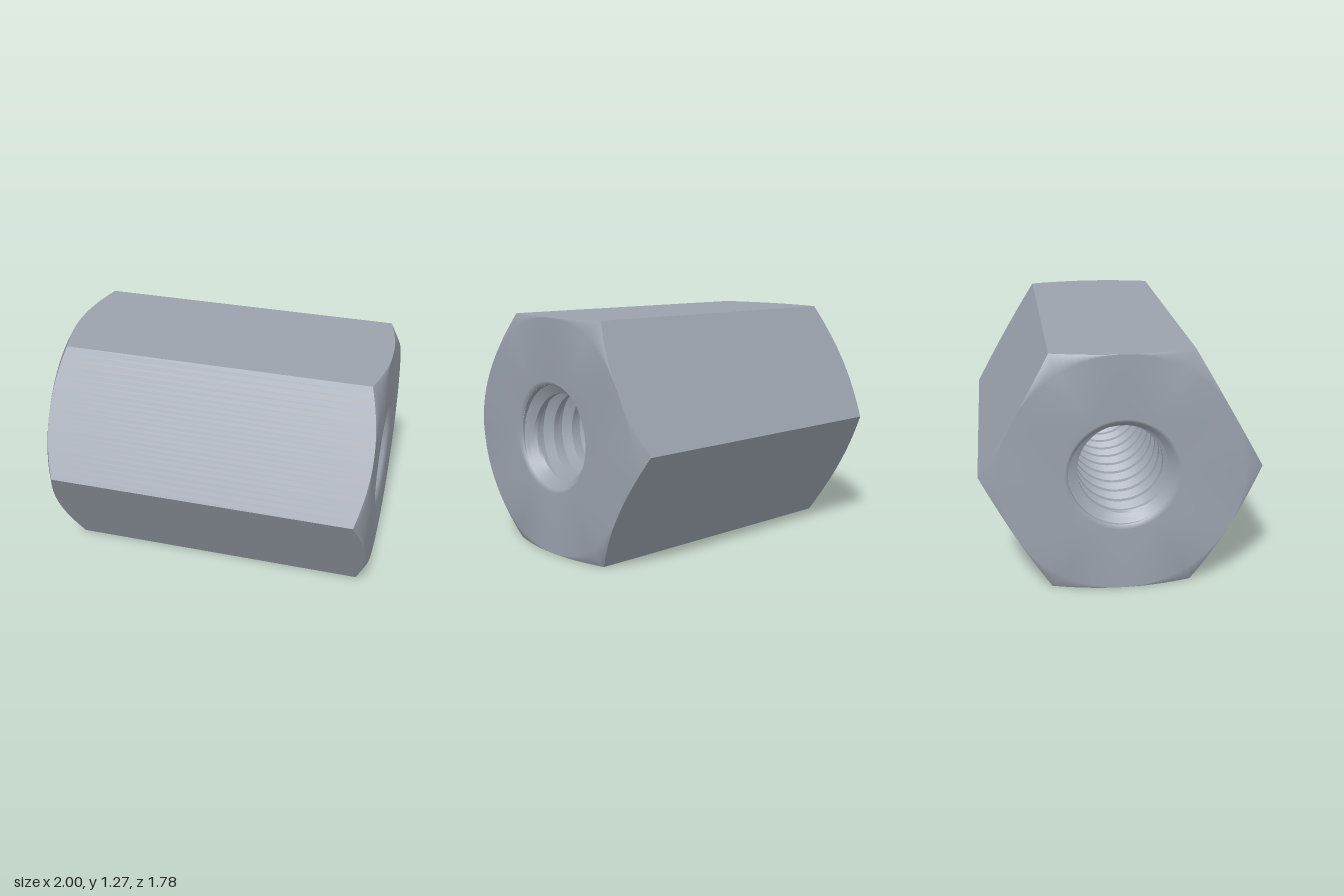
import * as THREE from 'three';

const HALF = 0.889;      // half length along the axis
const FLAT = 0.635;      // centre to flat
const MOUTH = 0.3;       // countersink radius at the end face
const MAJOR = 0.28;      // thread root radius
const MINOR = 0.2275;    // thread crest radius
const PITCH = 0.127;
const TAU = Math.PI * 2;
const STEP = Math.PI / 3;

// Surface through rows of points given as [axial, radius, angle].
// A closed grid wraps its last column to the first.
function grid(rows, cols, at, closed = false) {
  const pos = [], index = [];
  const n = closed ? cols : cols + 1;
  for (let i = 0; i <= rows; i++) {
    for (let j = 0; j < n; j++) {
      const [x, r, a] = at(i, j);
      pos.push(x, r * Math.cos(a), r * Math.sin(a));
    }
  }
  for (let i = 0; i < rows; i++) {
    for (let j = 0; j < cols; j++) {
      const k = (j + 1) % n;
      const a = i * n + j, b = a + n, c = i * n + k, d = c + n;
      index.push(a, b, c, b, d, c);
    }
  }
  const geo = new THREE.BufferGeometry();
  geo.setAttribute('position', new THREE.Float32BufferAttribute(pos, 3));
  geo.setIndex(index);
  geo.computeVertexNormals();
  return geo;
}

// Hexagon radius at an angle, and the height of the 30 degree chamfer there
const hexRadius = a => FLAT / Math.cos(a - Math.round(a / STEP) * STEP);
const chamferX = a => HALF - (hexRadius(a) - FLAT) * Math.tan(Math.PI / 6);

// Thread radius over one pitch: crest, flank, root, flank
function threadRadius(u) {
  const f = u - Math.floor(u);
  const k = f < 0.25 ? 0 : f < 0.5 ? (f - 0.25) * 4 : f < 0.75 ? 1 : (1 - f) * 4;
  return MINOR + (MAJOR - MINOR) * k;
}

export function createModel() {
  const steel = new THREE.MeshStandardMaterial({ color: 0x9ba2ad });
  steel.name = 'steel grey';

  const model = new THREE.Group();
  model.name = 'couplingNut';
  const nut = new THREE.Group();
  nut.name = 'nutBody';
  nut.position.y = FLAT;
  nut.rotation.y = -THREE.MathUtils.degToRad(12);
  model.add(nut);

  const add = (parent, name, geo) => {
    const mesh = new THREE.Mesh(geo, steel);
    mesh.name = name;
    parent.add(mesh);
  };

  // Six flat sides, with ends curved where the chamfer cuts them
  for (let k = 0; k < 6; k++) {
    add(nut, 'hexSide' + (k + 1), grid(1, 24, (i, j) => {
      const a = k * STEP - STEP / 2 + (j / 24) * STEP;
      return [i ? -chamferX(a) : chamferX(a), hexRadius(a), a];
    }));
  }

  // End faces: countersink lip, flat ring and chamfer out to the hexagon
  for (const side of [1, -1]) {
    add(nut, side > 0 ? 'rightEndFace' : 'leftEndFace', grid(3, 144, (i, j) => {
      const a = (j / 144) * TAU;
      const ring = side > 0 ? i : 3 - i;
      const r = [MAJOR, MOUTH, FLAT, hexRadius(a)][ring];
      const x = [HALF - (MOUTH - MAJOR), HALF, HALF, chamferX(a)][ring];
      return [side * x, r, a];
    }, true));
  }

  // Helical thread, one strip per facet so its edges stay sharp,
  // trimmed by the countersink cone at both ends
  const thread = new THREE.Group();
  thread.name = 'internalThread';
  nut.add(thread);
  const limit = HALF - (MOUTH - MAJOR);
  const first = -Math.ceil(limit / PITCH) - 1;
  for (let s = first * 8; s < -first * 8; s++) {
    const start = (s / 8) * PITCH, end = start + PITCH / 8;
    if (end + PITCH < -limit || start > limit) continue;
    add(thread, 'threadStrip', grid(1, 64, (i, j) => {
      const u = (s + i) / 8, a = (j / 64) * TAU;
      const x = THREE.MathUtils.clamp((u + j / 64) * PITCH, -limit, limit);
      // Phase follows the trimmed position, so the ends meet the lip
      const r = Math.max(threadRadius(x / PITCH - j / 64), MOUTH - (HALF - Math.abs(x)));
      return [x, r, a];
    }));
  }

  return model;
}
